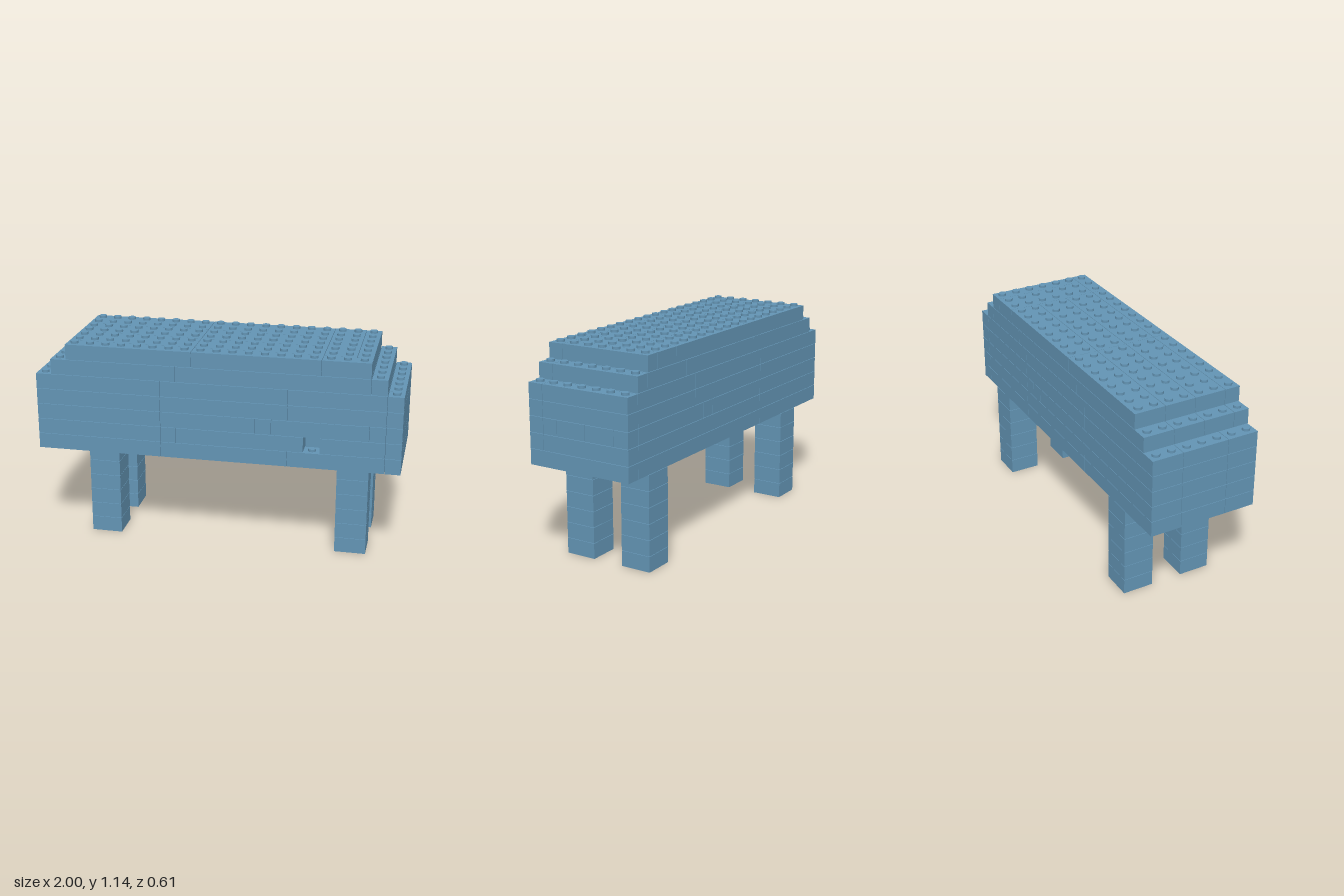
import * as THREE from 'three';
import { mergeGeometries } from 'three/addons/utils/BufferGeometryUtils.js';

const P = 2 / 23;      // one grid unit: stud spacing and brick height
const GAP = 0.0025;    // seam between neighbouring bricks
const NX = 23, NZ = 7;
const X = i => (i - NX / 2) * P;
const Z = j => (j - NZ / 2) * P;

// One brick spanning grid cells x0..x1, z0..z1 on layer k
function brick(x0, x1, z0, z1, k) {
  return new THREE.BoxGeometry((x1 - x0) * P - GAP, P - GAP, (z1 - z0) * P - GAP)
    .translate((X(x0) + X(x1)) / 2, (k + 0.5) * P, (Z(z0) + Z(z1)) / 2);
}

// A run of bricks along x, split at the given cuts
function row(cuts, z0, z1, k) {
  return cuts.slice(1).map((c, i) => brick(cuts[i], c, z0, z1, k));
}

// A stud on top of layer k in cell (i, j)
function stud(i, j, k) {
  const h = 0.0125 + GAP;
  return new THREE.CylinderGeometry(0.0212, 0.0212, h, 16)
    .translate(X(i + 0.5), (k + 1) * P - GAP + h / 2, Z(j + 0.5));
}

export function createModel() {
  const model = new THREE.Group();
  const blue = new THREE.MeshStandardMaterial({ color: 0x6394b4 });
  blue.name = 'dusty blue';
  const add = (name, parts) => {
    const mesh = new THREE.Mesh(mergeGeometries(parts), blue);
    mesh.name = name;
    model.add(mesh);
  };

  // Legs: stacks of two-by-two bricks
  for (const [side, x] of [['Right', 3], ['Left', 19]]) {
    for (const [end, z] of [['front', 4], ['back', 0]]) {
      const parts = [];
      for (let k = 0; k < 6; k++) parts.push(brick(x, x + 2, z, z + 2, k));
      add(end + side + 'Leg', parts);
    }
  }

  // Body: five full layers, each a front row, inner rows and a left end row
  const frontCuts = {
    6: [0, 8, 16, 22],
    7: [0, 8, 9, 17],
    8: [0, 8, 14, 15, 21, 22],
    9: [0, 8, 16, 22],
    10: [0, 8, 16, 22],
  };
  for (let k = 6; k <= 10; k++) {
    const back = k === 8 ? [0, 8, 14, 15, 16, 22] : [0, 8, 16, 22];
    const parts = [
      ...row(frontCuts[k], 5, 7, k).slice(0, k === 7 ? 2 : undefined),
      ...row(back, 0, 2, k),
      ...row([0, 8, 16, 22], 2, 5, k),
    ];
    // Layer with the one-cell opening in its front face
    if (k === 7) parts.push(brick(9, 17, 5, 7, k), brick(17, 18, 5, 6, k), brick(18, 22, 5, 7, k));
    const endCuts = k === 6 ? [0, 7] : k === 8 ? [0, 1, 3, 5, 6, 7] : [0, 6, 7];
    endCuts.slice(1).forEach((z, i) => parts.push(brick(22, 23, endCuts[i], z, k)));
    add('bodyLayer' + (k - 5), parts);
  }

  // First step, one unit in at each end
  add('lowerStep', [
    ...row([1, 9, 21, 22], 6, 7, 11),
    ...row([1, 9, 17, 21], 0, 2, 11),
    ...row([1, 9, 17, 21], 2, 4, 11),
    ...row([1, 9, 17, 21], 4, 6, 11),
    brick(21, 22, 0, 6, 11),
  ]);

  // Top step, two units in at each end
  add('upperStep', [
    ...row([2, 10, 18, 21], 6, 7, 12),
    ...row([2, 10, 18], 0, 2, 12),
    ...row([2, 10, 18], 2, 4, 12),
    ...row([2, 10, 18], 4, 6, 12),
    ...row([18, 20, 21], 0, 6, 12),
  ]);

  // Studs on every exposed upper face
  const studs = [stud(17, 6, 6)];
  for (let i = 0; i < NX; i++) {
    const k = 10 + Math.min(i, NX - 1 - i, 2);
    for (let j = 0; j < NZ; j++) studs.push(stud(i, j, k));
  }
  add('studs', studs);

  return model;
}
